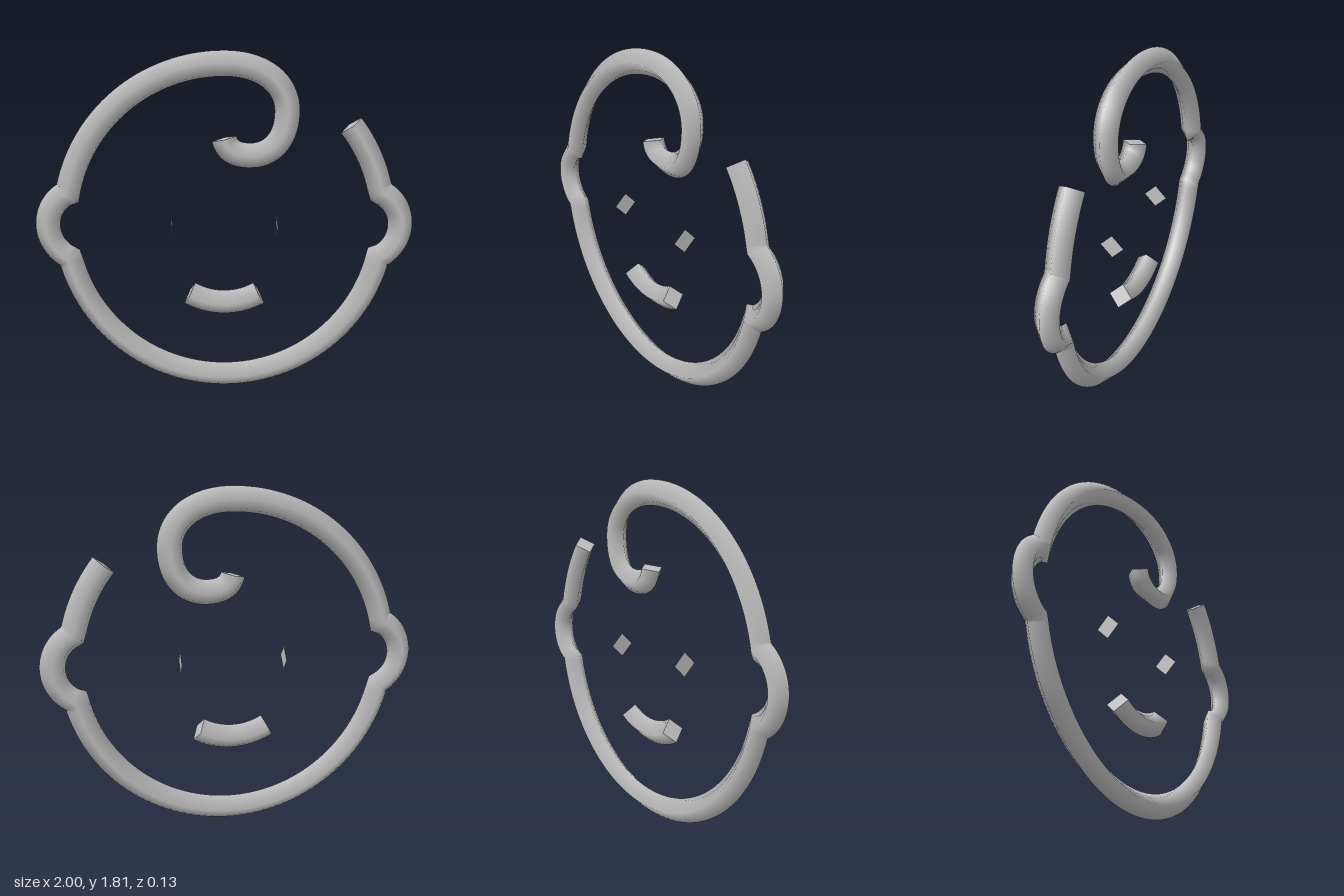
import * as THREE from 'three';

const RADIUS = 0.065;

// Points along a circular arc, angles in degrees
function arc(cx, cy, r, from, to, n) {
  return Array.from({ length: n + 1 }, (_, i) => {
    const a = THREE.MathUtils.degToRad(from + (to - from) * i / n);
    return new THREE.Vector2(cx + r * Math.cos(a), cy + r * Math.sin(a));
  });
}

function bezier(n, ...c) {
  const p = [0, 2, 4, 6].map(i => new THREE.Vector2(c[i], c[i + 1]));
  return new THREE.CubicBezierCurve(...p).getPoints(n);
}

// Joins sections, replacing each shared end point by a single one
function join(...sections) {
  const out = [];
  for (const s of sections) {
    if (out.length) out.pop();
    out.push(...s);
  }
  return out;
}

// Sweeps a smooth-shaded diamond section along a flat path, mitred at corners, capped at both ends
function sweep(points) {
  const pos = [], nor = [], idx = [];
  const last = points.length - 1;
  const dir = i => points[i + 1].clone().sub(points[i]).normalize();
  const ring = (i, capSign) => {
    const t0 = dir(Math.max(i - 1, 0)), t1 = dir(Math.min(i, last - 1));
    const t = t0.clone().add(t1).normalize();
    const widen = 1 / t.dot(t1);
    for (let k = 0; k < 4; k++) {
      const c = [1, 0, -1, 0][k], s = [0, 1, 0, -1][k];
      pos.push(points[i].x - t.y * c * RADIUS * widen, points[i].y + t.x * c * RADIUS * widen, s * RADIUS);
      if (capSign) nor.push(t.x * capSign, t.y * capSign, 0);
      else nor.push(-t.y * c, t.x * c, s);
    }
  };
  for (let i = 0; i <= last; i++) ring(i, 0);
  for (let i = 0; i < last; i++) {
    for (let k = 0; k < 4; k++) {
      const a = i * 4 + k, b = i * 4 + (k + 1) % 4;
      idx.push(a, b, a + 4, b, b + 4, a + 4);
    }
  }
  const e = (last + 1) * 4;
  ring(0, -1);
  ring(last, 1);
  idx.push(e, e + 2, e + 1, e, e + 3, e + 2, e + 4, e + 5, e + 6, e + 4, e + 6, e + 7);
  const g = new THREE.BufferGeometry();
  g.setAttribute('position', new THREE.Float32BufferAttribute(pos, 3));
  g.setAttribute('normal', new THREE.Float32BufferAttribute(nor, 3));
  g.setIndex(idx);
  return g;
}

export function createModel() {
  const model = new THREE.Group();
  model.name = 'faceOutline';
  const grey = new THREE.MeshStandardMaterial({ color: 0xc0c0c0, side: THREE.DoubleSide });
  grey.name = 'light grey';
  const add = (name, geometry) => {
    const mesh = new THREE.Mesh(geometry, grey);
    mesh.name = name;
    model.add(mesh);
    return mesh;
  };

  // Head: cheek, ear, chin, other ear, crown and the curl of hair in one run
  const cy = 0.911, R = 0.842, earX = 0.738, earR = 0.197;
  add('headAndCurl', sweep(join(
    arc(0, cy, R, 38.8, 11.9, 12),
    arc(earX, cy, earR, 63.5, -63.5, 24),
    arc(0, cy, R, -11.9, -168.1, 60),
    arc(-earX, cy, earR, -116.5, -243.5, 24),
    arc(0, cy, R, 168.1, 90, 32),
    bezier(20, 0, 1.753, 0.2, 1.753, 0.325, 1.65, 0.325, 1.51),
    bezier(16, 0.325, 1.51, 0.325, 1.37, 0.25, 1.283, 0.135, 1.283),
    bezier(12, 0.135, 1.283, 0.06, 1.283, 0.01, 1.31, 0, 1.37)
  )));

  // Smile
  add('smile', sweep(arc(0, 0.859, 0.374, -120, -60, 16)));

  // Eyes: thin diamonds facing sideways
  for (const side of [-1, 1]) {
    const eye = add(side > 0 ? 'leftEye' : 'rightEye', new THREE.CircleGeometry(RADIUS, 4));
    eye.rotation.y = Math.PI / 2;
    eye.position.set(side * 0.28, cy, 0);
  }
  return model;
}
